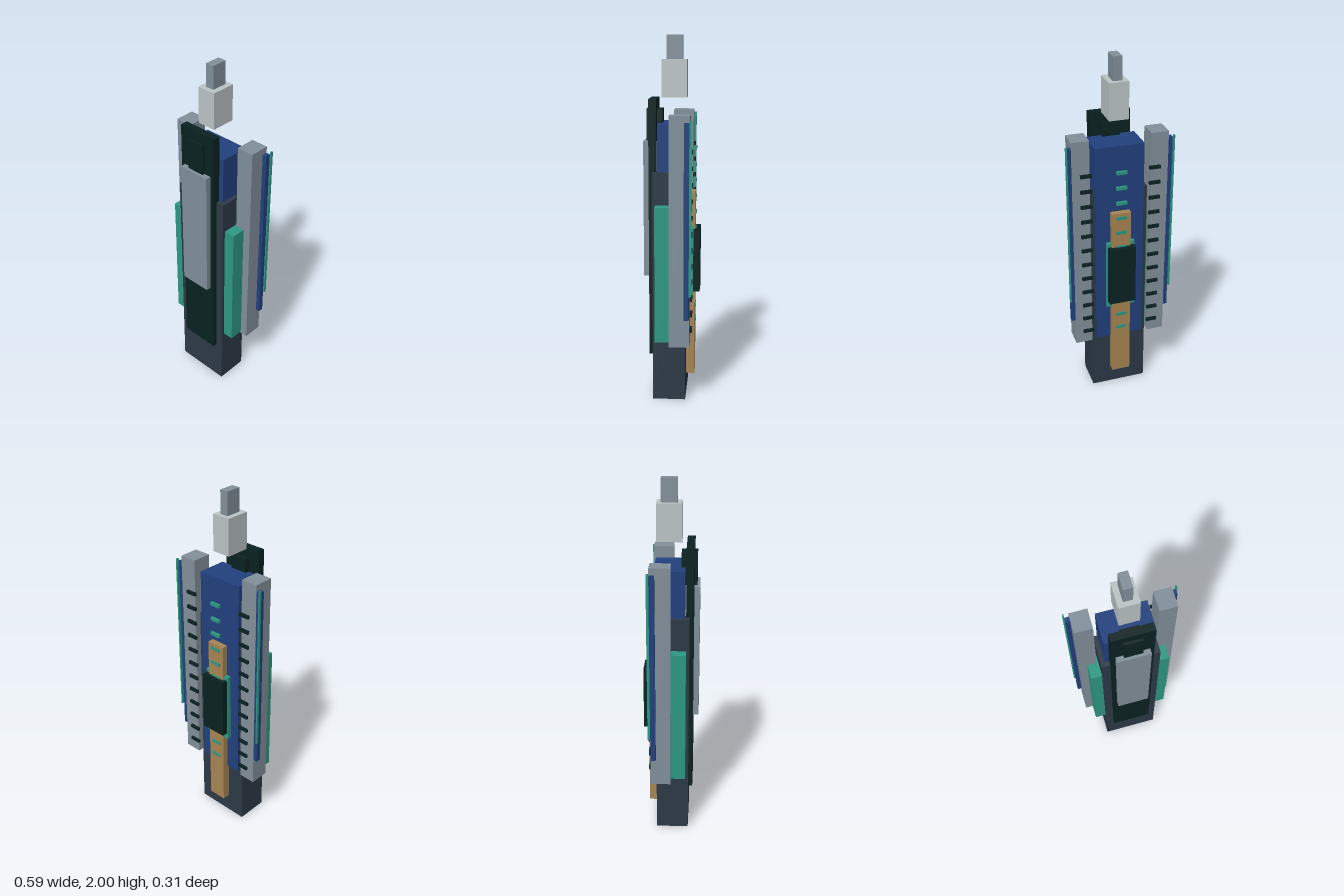
import * as THREE from 'three';

const paint = (name, color) => {
  const m = new THREE.MeshStandardMaterial({ color });
  m.name = name;
  return m;
};

export function createModel() {
  const model = new THREE.Group();
  model.name = 'tower';

  const slate = paint('slate', 0x2d3a47);
  const black = paint('greenBlack', 0x0b2222);
  const grey = paint('steelGrey', 0x83919c);
  const pale = paint('paleGrey', 0xbdc6c7);
  const blue = paint('deepBlue', 0x22417f);
  const teal = paint('teal', 0x2d9a84);
  const bronze = paint('bronze', 0xa98652);

  // Box given by its extents on each axis
  const box = (name, mat, [x0, x1], [y0, y1], [z0, z1], parent = model) => {
    const mesh = new THREE.Mesh(new THREE.BoxGeometry(x1 - x0, y1 - y0, z1 - z0), mat);
    mesh.position.set((x0 + x1) / 2, (y0 + y1) / 2, (z0 + z1) / 2);
    mesh.name = name;
    parent.add(mesh);
  };
  const centred = (name, mat, half, y, z) => box(name, mat, [-half, half], y, z);

  // Main shafts
  centred('baseShaft', slate, 0.158, [0, 1.285], [-0.081, 0.099]);
  centred('upperShaft', blue, 0.135, [0.35, 1.54], [-0.094, 0.074]);

  // Front slab, its crest and raised panel
  centred('frontSlab', black, 0.113, [0.25, 1.67], [0.08, 0.122]);
  centred('frontCrest', black, 0.05, [1.2, 1.615], [0.052, 0.137]);
  centred('frontPanel', grey, 0.09, [0.7, 1.445], [0.072, 0.152]);

  // Floating crown
  centred('crown', pale, 0.053, [1.675, 1.875], [-0.08, 0.055]);
  centred('crownTip', grey, 0.024, [1.875, 2], [-0.057, 0.03]);

  // Back spine and hatch
  centred('backSpine', bronze, 0.053, [0.115, 1.165], [-0.128, -0.07]);
  centred('hatchFrame', teal, 0.079, [0.57, 0.98], [-0.119, -0.09]);
  centred('hatch', black, 0.075, [0.61, 0.96], [-0.155, -0.119]);

  // Rows of slats share the same heights
  const slatHeights = Array.from({ length: 12 }, (_, i) => 1.403 - i * 0.0887);
  for (const y of slatHeights) {
    centred('spineSlat', teal, 0.03, [y - 0.009, y + 0.009], [-0.133, -0.119]);
  }

  // Side towers, mirrored
  for (const side of [1, -1]) {
    const tower = new THREE.Group();
    tower.name = side > 0 ? 'leftTower' : 'rightTower';
    model.add(tower);
    const part = (name, mat, [a, b], y, z) =>
      box(name, mat, side > 0 ? [a, b] : [-b, -a], y, z, tower);
    part('pillar', grey, [0.167, 0.263], [0.35, 1.595], [-0.107, 0.003]);
    part('sidePod', teal, [0.15, 0.22], [0.36, 1.11], [-0.067, 0.083]);
    part('fin', blue, [0.263, 0.286], [0.51, 1.56], [-0.105, -0.077]);
    part('finStrip', teal, [0.286, 0.294], [0.645, 1.573], [-0.119, -0.105]);
    for (const y of slatHeights) {
      part('pillarSlat', black, [0.158, 0.22], [y - 0.009, y + 0.009], [-0.119, -0.106]);
    }
  }
  return model;
}
